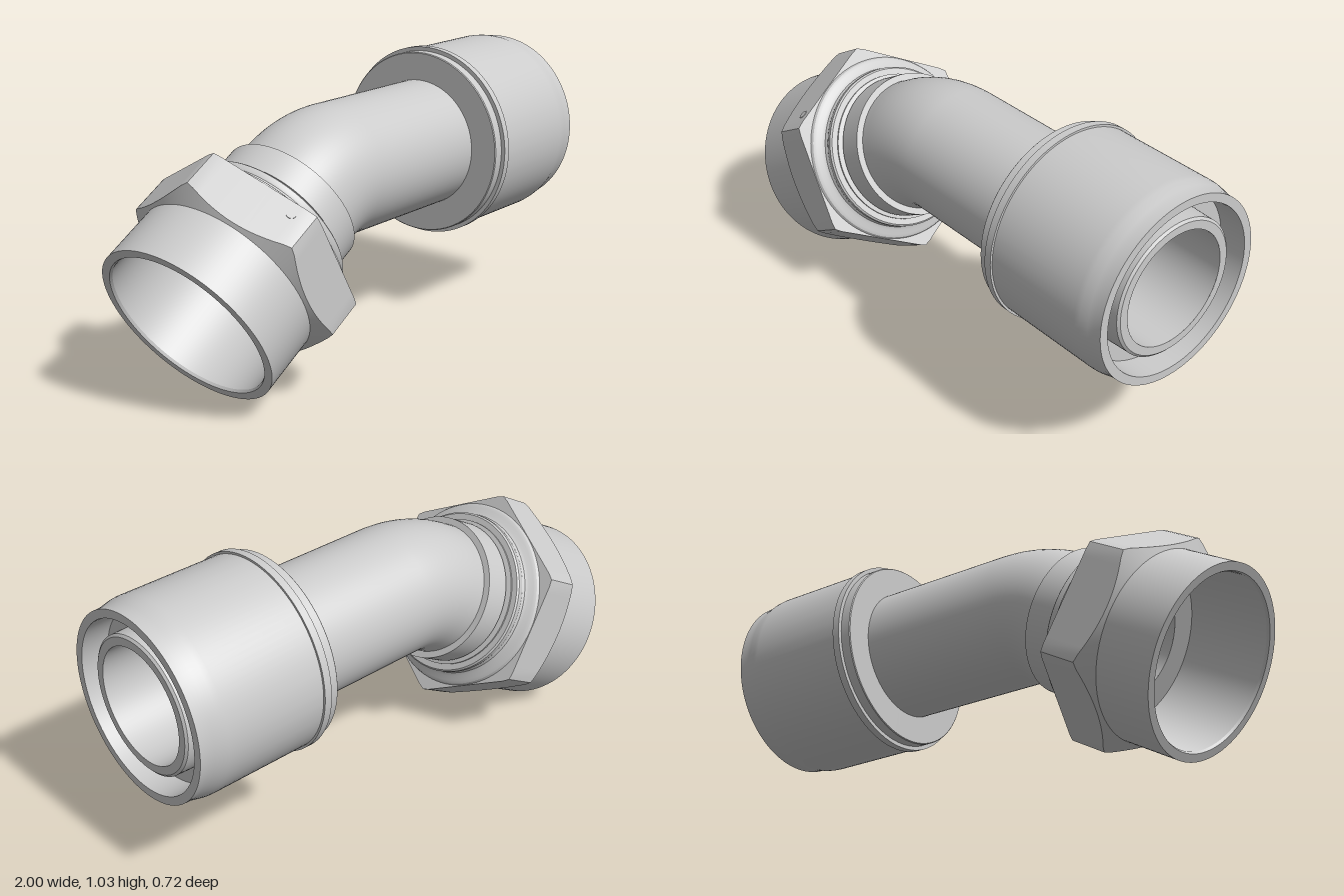
import * as THREE from 'three';
import { toCreasedNormals } from 'three/addons/utils/BufferGeometryUtils.js';

const material = new THREE.MeshStandardMaterial({ color: 0xcccccc, side: THREE.DoubleSide });
const AXIS_Y = 0.668; // height of the straight pipe
const END = new THREE.Vector3(-0.83, 0.295, 0); // centre of the nut mouth
const DIR = new THREE.Vector3(Math.cos(Math.PI / 6), 0.5, 0); // from mouth into the pipe
const CORNER = END.clone().addScaledVector(DIR, (AXIS_Y - END.y) / DIR.y);

function part(name, geometry) {
  const mesh = new THREE.Mesh(geometry, material);
  mesh.name = name;
  return mesh;
}

// Turned part from [radius, distance along axis] pairs
function turned(name, profile) {
  const pts = profile.map(([r, s]) => new THREE.Vector2(r, s));
  return part(name, toCreasedNormals(new THREE.LatheGeometry(pts, 96), 0.4));
}

// Pipe surface following the 30 degree bend
function bentPipe(name, radius, startX, endS) {
  const tangent = 0.107;
  const a = new THREE.Vector3(CORNER.x + tangent, AXIS_Y, 0);
  const b = CORNER.clone().addScaledVector(DIR, -tangent);
  const path = new THREE.CurvePath();
  path.add(new THREE.LineCurve3(new THREE.Vector3(startX, AXIS_Y, 0), a));
  path.add(new THREE.QuadraticBezierCurve3(a, CORNER.clone(), b));
  path.add(new THREE.LineCurve3(b, END.clone().addScaledVector(DIR, endS)));
  return part(name, new THREE.TubeGeometry(path, 120, radius, 72));
}

// Hexagon ring with a conical chamfer on the mouth side
function hexagon() {
  const apothem = 0.35, chamferR = 0.336, chamferS = 0.215, back = 0.405;
  const pts = [[chamferR, chamferS], [1, 0], [1, back], [0.3, back]].map(p => new THREE.Vector2(...p));
  const geo = new THREE.LatheGeometry(pts, 96);
  const pos = geo.attributes.position;
  for (let i = 0; i < pos.count; i++) {
    const row = i % 4;
    if (row !== 1 && row !== 2) continue;
    const phi = Math.atan2(pos.getX(i), pos.getZ(i));
    const fromFlat = phi - Math.round(phi / (Math.PI / 3)) * Math.PI / 3;
    const r = Math.min(apothem / Math.cos(fromFlat), 0.4);
    const s = row === 1 ? chamferS + (r - chamferR) * 0.73 : back;
    pos.setXYZ(i, r * Math.sin(phi), s, r * Math.cos(phi));
  }
  return part('nutHexagon', toCreasedNormals(geo, 0.4));
}

export function createModel() {
  const model = new THREE.Group();
  model.name = 'angledPipeFitting';

  // Bent pipe
  model.add(bentPipe('pipe', 0.24, 0.47, 0.56), bentPipe('bore', 0.208, 0.985, 0.33));

  // Sleeve on the straight end, with an open ring gap around the inner pipe
  const sleeve = turned('sleeve', [
    [0.235, 0.45], [0.342, 0.45], [0.345, 0.453], [0.345, 0.49], [0.36, 0.49], [0.36, 0.518],
    [0.352, 0.518], [0.352, 0.9], [0.35, 0.92], [0.343, 0.95], [0.339, 0.97], [0.338, 1],
    [0.307, 1], [0.305, 0.9], [0.25, 0.9], [0.247, 0.978], [0.238, 0.985], [0.208, 0.985],
  ]);
  sleeve.rotation.z = -Math.PI / 2;
  sleeve.position.y = AXIS_Y;
  model.add(sleeve);

  // Nut and collar on the angled end
  const nut = new THREE.Group();
  nut.name = 'angledEnd';
  nut.position.copy(END);
  nut.rotation.z = -Math.PI / 3;
  nut.add(turned('nutSocket', [
    [0.208, 0.33], [0.303, 0.33], [0.303, 0.01], [0.308, 0], [0.338, 0], [0.338, 0.25],
  ]));
  nut.add(hexagon());
  nut.add(turned('nutShoulder', [
    [0.348, 0.405], [0.343, 0.415], [0.332, 0.422], [0.315, 0.427], [0.304, 0.435], [0.3, 0.447],
    [0.303, 0.456], [0.303, 0.47], [0.297, 0.476], [0.24, 0.476],
  ]));
  nut.add(turned('collar', [
    [0.275, 0.47], [0.275, 0.482], [0.252, 0.485], [0.252, 0.495], [0.264, 0.498], [0.264, 0.602], [0.235, 0.602],
  ]));

  // Small round mark on one flat
  const mark = part('nutMark', new THREE.CylinderGeometry(0.017, 0.017, 0.004, 24));
  const normal = new THREE.Vector3(-Math.sin(Math.PI / 3), 0, 0.5);
  mark.quaternion.setFromUnitVectors(new THREE.Vector3(0, 1, 0), normal);
  mark.position.copy(normal).multiplyScalar(0.35)
    .add(new THREE.Vector3(0.065, 0.362, 0.1125));
  nut.add(mark);
  model.add(nut);

  return model;
}
